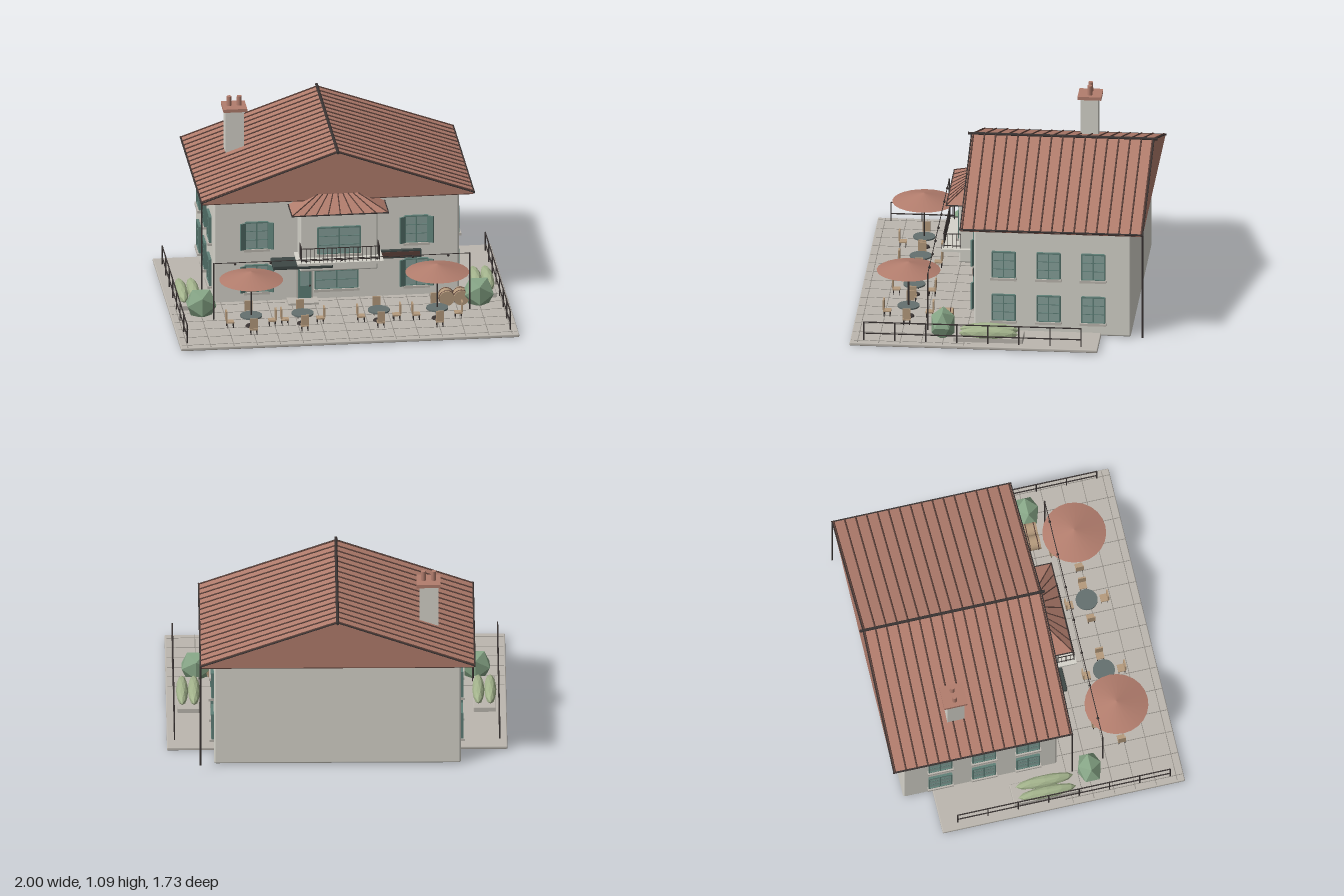
import * as THREE from 'three';
import { RoundedBoxGeometry } from 'three/addons/geometries/RoundedBoxGeometry.js';
import { ConvexGeometry } from 'three/addons/geometries/ConvexGeometry.js';

const paint = (color, extra = {}) => new THREE.MeshStandardMaterial({ color, ...extra });
const M = {
  wall: paint(0xd6d4cb), roof: paint(0xb27d6d, { flatShading: true }), dark: paint(0x3a3433),
  brown: paint(0x5a4039), glass: paint(0x86a09a), shutter: paint(0x5f8078), stone: paint(0xbcb7af),
  joint: paint(0x8f8a84), wood: paint(0xb59a7c), table: paint(0x64706f), sign: paint(0x3d4745),
  leaf: paint(0x86a586, { flatShading: true }), hedge: paint(0xa3b38c, { flatShading: true }),
};
const V = (x, y, z) => new THREE.Vector3(x, y, z);

function add(parent, name, geometry, material, x = 0, y = 0, z = 0) {
  const mesh = new THREE.Mesh(geometry, material);
  mesh.name = name;
  mesh.position.set(x, y, z);
  parent.add(mesh);
  return mesh;
}
// Box given by its extents on each axis
function box(parent, name, mat, x0, x1, y0, y1, z0, z1, round = 0) {
  const s = [x1 - x0, y1 - y0, z1 - z0];
  const geo = round ? new RoundedBoxGeometry(...s, 2, round) : new THREE.BoxGeometry(...s);
  return add(parent, name, geo, mat, (x0 + x1) / 2, (y0 + y1) / 2, (z0 + z1) / 2);
}
// Round bar between two points
function rod(parent, name, mat, a, b, r = 0.003) {
  const d = b.clone().sub(a);
  const m = add(parent, name, new THREE.CylinderGeometry(r, r, d.length(), 8), mat);
  m.position.copy(a).addScaledVector(d, 0.5);
  m.quaternion.setFromUnitVectors(V(0, 1, 0), d.normalize());
  return m;
}
function group(parent, name, x = 0, y = 0, z = 0, turn = 0) {
  const g = new THREE.Group();
  g.name = name;
  g.position.set(x, y, z);
  g.rotation.y = turn;
  parent.add(g);
  return g;
}

// Window facing +z, its origin at the middle of the pane
function makeWindow(parent, x, y, z, turn, w, h, shutters) {
  const g = group(parent, 'window', x, y, z, turn), a = w / 2, b = h / 2, t = 0.008;
  box(g, 'glass', M.glass, -a, a, -b, b, -0.01, 0.006);
  for (const s of [-1, 1]) {
    box(g, 'frameSide', M.shutter, s * a - t / 2, s * a + t / 2, -b, b, -0.01, 0.015);
    box(g, 'frameRail', M.shutter, -a, a, s * b - t / 2, s * b + t / 2, -0.01, 0.015);
    box(g, 'glazingBar', M.shutter, -a, a, s * b / 3 - 0.002, s * b / 3 + 0.002, 0, 0.01);
    if (shutters) {
      const leaf = group(g, 'shutter', s * a, 0, 0.014, -s * 0.45);
      box(leaf, 'shutterPanel', M.shutter, s > 0 ? 0 : -0.035, s > 0 ? 0.035 : 0, -b, b, -0.004, 0.006);
    }
  }
  box(g, 'mullion', M.shutter, -0.004, 0.004, -b, b, 0, 0.012);
  box(g, 'sill', M.stone, -a - 0.01, a + 0.01, -b - 0.015, -b, -0.01, 0.025);
}

function makeChair(parent, x, z, turn) {
  const g = group(parent, 'chair', x, 0.04, z, turn);
  box(g, 'seat', M.wood, -0.023, 0.023, 0.03, 0.038, -0.023, 0.023);
  box(g, 'backrest', M.wood, -0.023, 0.023, 0.042, 0.103, 0.017, 0.026);
  for (const sx of [-0.018, 0.018]) for (const sz of [-0.018, 0.018])
    rod(g, 'leg', M.dark, V(sx, 0, sz), V(sx, 0.032, sz), 0.0025);
}

function makeTable(parent, x, z, reach) {
  const g = group(parent, 'tableSet', x, 0, z);
  add(g, 'tableTop', new THREE.CylinderGeometry(0.065, 0.065, 0.009, 24), M.table, 0, 0.107, 0);
  rod(g, 'tableStem', M.dark, V(0, 0.04, 0), V(0, 0.105, 0), 0.006);
  add(g, 'tableFoot', new THREE.CylinderGeometry(0.03, 0.035, 0.008, 16), M.dark, 0, 0.044, 0);
  for (let i = 0; i < 4; i++) {
    const a = i * Math.PI / 2;
    makeChair(g, Math.sin(a) * reach, Math.cos(a) * reach, a);
  }
  return g;
}

export function createModel() {
  const root = new THREE.Group();
  root.name = 'cafeHouse';

  // Paved terrace with tile joints
  box(root, 'terrace', M.stone, -1, 1, 0.02, 0.04, -0.61, 0.85, 0.006);
  for (let i = -7; i <= 7; i++) box(root, 'tileJoint', M.joint, i * 0.137 - 0.002, i * 0.137 + 0.002, 0.038, 0.0412, 0.14, 0.845);
  for (let i = 0; i < 6; i++) box(root, 'tileJoint', M.joint, -0.99, 0.99, 0.038, 0.0412, 0.178 + i * 0.125, 0.182 + i * 0.125);

  // House body and projecting upper bay
  box(root, 'houseBody', M.wall, -0.725, 0.725, 0.02, 0.69, -0.785, 0.14, 0.012);
  box(root, 'bay', M.wall, -0.23, 0.23, 0.26, 0.65, 0.12, 0.27, 0.01);

  // Windows
  for (const s of [-1, 1]) {
    for (const y of [0.455, 0.185]) {
      makeWindow(root, s * 0.472, y, 0.14, 0, 0.135, 0.165, true);
      for (const z of [-0.035, -0.3, -0.563]) makeWindow(root, s * 0.725, y, z, s * Math.PI / 2, 0.135, 0.16, false);
    }
  }
  makeWindow(root, 0, 0.455, 0.27, 0, 0.25, 0.165, false);
  makeWindow(root, 0, 0.185, 0.14, 0, 0.25, 0.165, false);

  // Entrance with canopy and step
  const door = group(root, 'entrance', -0.185, 0, 0.14);
  box(door, 'doorFrame', M.stone, -0.052, 0.045, 0.04, 0.255, -0.01, 0.012);
  box(door, 'doorLeaf', M.shutter, -0.042, 0.035, 0.04, 0.245, 0, 0.018);
  box(door, 'doorPane', M.glass, -0.028, 0.021, 0.13, 0.23, 0.01, 0.021);
  add(door, 'doorKnob', new THREE.SphereGeometry(0.006, 10, 8), M.dark, 0.026, 0.13, 0.022);
  box(door, 'doorStep', M.stone, -0.11, 0.07, 0.04, 0.052, 0, 0.1);
  box(root, 'canopy', M.sign, -0.39, -0.035, 0.282, 0.308, 0.13, 0.282, 0.006);
  box(root, 'signBoard', M.sign, 0.23, 0.5, 0.282, 0.33, 0.13, 0.165);
  box(root, 'signPanel', M.brown, 0.24, 0.49, 0.29, 0.322, 0.16, 0.168);

  // Balcony
  box(root, 'balconyFloor', M.wall, -0.255, 0.255, 0.335, 0.35, 0.17, 0.37);
  const corners = [V(-0.23, 0, 0.26), V(-0.23, 0, 0.36), V(0.23, 0, 0.36), V(0.23, 0, 0.26)];
  for (let i = 0; i < 3; i++) {
    for (const y of [0.365, 0.44]) rod(root, 'balconyRail', M.dark, corners[i].clone().setY(y), corners[i + 1].clone().setY(y));
    const n = i === 1 ? 18 : 4;
    for (let k = 0; k <= n; k++) {
      const p = corners[i].clone().lerp(corners[i + 1], k / n);
      rod(root, 'baluster', M.dark, p.clone().setY(0.35), p.clone().setY(0.44), 0.0018);
    }
  }

  // Main gable roof with standing seams
  const gable = new THREE.Shape([[-0.805, 0.69], [0.805, 0.69], [0.805, 0.7], [0, 0.985], [-0.805, 0.7]].map(p => new THREE.Vector2(...p)));
  add(root, 'roof', new THREE.ExtrudeGeometry(gable, { depth: 1.075, bevelEnabled: false }), M.roof, 0, 0, -0.86);
  box(root, 'soffit', M.brown, -0.8, 0.8, 0.684, 0.691, -0.857, 0.212);
  for (const s of [-1, 1]) {
    for (let i = 0; i <= 16; i++) {
      const z = -0.852 + i * 0.066;
      rod(root, 'roofSeam', M.brown, V(0, 0.987, z), V(s * 0.805, 0.702, z), 0.005);
    }
    for (const z of [-0.86, 0.215]) rod(root, 'gableTrim', M.dark, V(0, 0.985, z), V(s * 0.805, 0.698, z), 0.004);
    rod(root, 'gutter', M.dark, V(s * 0.805, 0.697, -0.865), V(s * 0.805, 0.697, 0.22), 0.006);
    rod(root, 'downpipe', M.dark, V(s * 0.805, 0.05, s > 0 ? -0.86 : 0.215), V(s * 0.805, 0.7, s > 0 ? -0.86 : 0.215), 0.005);
  }
  rod(root, 'ridge', M.dark, V(0, 0.988, -0.88), V(0, 0.988, 0.235), 0.009);

  // Hipped roof over the bay
  const hip = [];
  for (const s of [-1, 1]) hip.push(V(s * 0.285, 0.64, 0.34), V(s * 0.285, 0.64, 0.14), V(s * 0.12, 0.725, 0.215), V(s * 0.12, 0.725, 0.14));
  add(root, 'bayRoof', new ConvexGeometry(hip), M.roof);
  for (let i = -4; i <= 4; i++) rod(root, 'bayRoofSeam', M.brown, V(i * 0.03, 0.725, 0.215), V(i * 0.071, 0.642, 0.34), 0.0035);
  rod(root, 'bayGutter', M.dark, V(-0.287, 0.64, 0.34), V(0.287, 0.64, 0.34), 0.004);
  for (const s of [-1, 1]) rod(root, 'bayGutter', M.dark, V(s * 0.285, 0.64, 0.14), V(s * 0.285, 0.64, 0.34), 0.004);

  // Chimney
  box(root, 'chimney', M.wall, -0.595, -0.485, 0.7, 1.035, -0.49, -0.385);
  box(root, 'chimneyCap', M.roof, -0.608, -0.468, 1.032, 1.052, -0.51, -0.37);
  for (const x of [-0.568, -0.508]) add(root, 'chimneyPot', new THREE.CylinderGeometry(0.014, 0.015, 0.06, 16), M.roof, x, 1.08, -0.44);

  // Terrace railings, hedges and shrubs on both sides
  for (const s of [-1, 1]) {
    for (const y of [0.085, 0.155]) rod(root, 'railing', M.dark, V(s * 0.955, y, -0.51), V(s * 0.955, y, 0.77), 0.004);
    for (let i = 0; i < 8; i++) {
      const z = 0.77 - i * 1.28 / 7;
      rod(root, 'railingPost', M.dark, V(s * 0.955, 0.04, z), V(s * 0.955, 0.157, z), 0.004);
    }
    box(root, 'planter', M.stone, s * 0.87 - 0.065, s * 0.87 + 0.065, 0.03, 0.07, -0.165, 0.245, 0.005);
    for (const dx of [-0.035, 0.035]) {
      const h = add(root, 'hedge', new THREE.IcosahedronGeometry(1, 1), M.hedge, s * 0.87 + dx, 0.085, 0.04);
      h.scale.set(0.036, 0.042, 0.175);
    }
    const shrub = add(root, 'shrub', new THREE.IcosahedronGeometry(0.1, 0), M.leaf, s * 0.82, 0.105, 0.315);
    shrub.scale.set(1, 1.05, 0.8);
  }

  // Two barrels lying beside the right-hand shrub
  for (const x of [0.63, 0.715]) {
    rod(root, 'barrel', M.wood, V(x, 0.085, 0.27), V(x, 0.085, 0.35), 0.045).geometry = new THREE.CylinderGeometry(0.045, 0.045, 0.08, 20);
    for (const z of [0.285, 0.335]) add(root, 'barrelHoop', new THREE.TorusGeometry(0.045, 0.003, 6, 20), M.brown, x, 0.085, z);
  }

  // Tables, chairs and parasols
  makeTable(root, -0.245, 0.535, 0.105);
  makeTable(root, 0.205, 0.535, 0.105);
  for (const s of [-1, 1]) {
    const set = makeTable(root, s * 0.55, 0.54, 0.125);
    rod(set, 'parasolPole', M.dark, V(0, 0.04, 0), V(0, 0.38, 0), 0.005);
    add(set, 'parasol', new THREE.ConeGeometry(0.188, 0.052, 24, 1, true), paint(0xb27d6d, { side: THREE.DoubleSide }), 0, 0.358, 0);
  }

  // String lights between two posts
  for (const s of [-1, 1]) rod(root, 'lightPost', M.dark, V(s * 0.757, 0.04, 0.41), V(s * 0.757, 0.395, 0.41), 0.004);
  rod(root, 'lightCable', M.dark, V(-0.757, 0.392, 0.41), V(0.757, 0.392, 0.41), 0.0025);
  for (let i = -3; i <= 3; i++) add(root, 'lightBulb', new THREE.SphereGeometry(0.008, 10, 8), M.dark, i * 0.21, 0.384, 0.41);

  return root;
}
